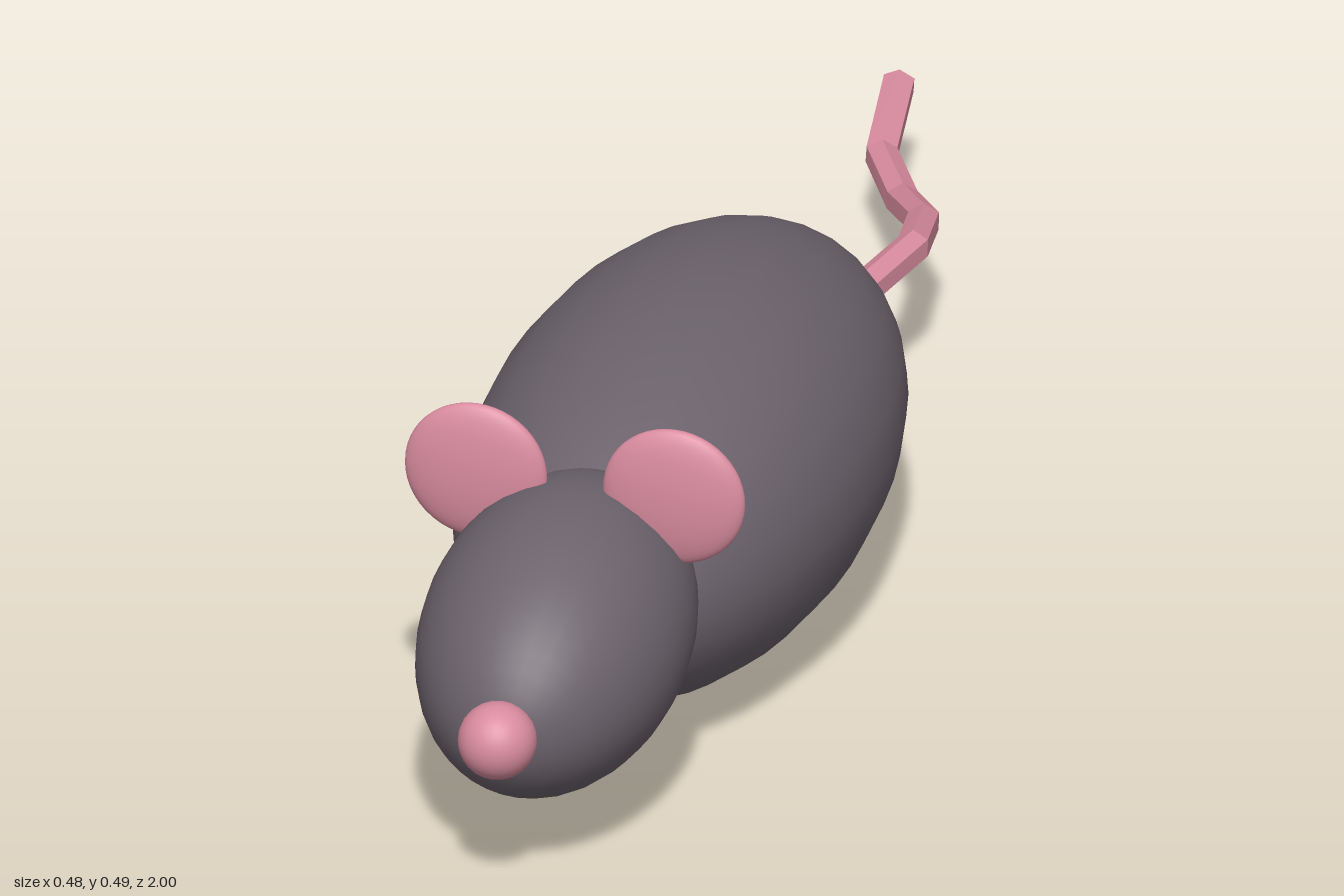
import * as THREE from 'three';
import { mergeGeometries } from 'three/addons/utils/BufferGeometryUtils.js';

const fur = new THREE.MeshStandardMaterial({ color: 0x6b626b });
fur.name = 'grey fur';
const skin = new THREE.MeshStandardMaterial({ color: 0xd98c9f });
skin.name = 'pink skin';

// Ellipsoid whose poles lie along z
function ellipsoid(name, material, radii, position, around = 24, along = 24) {
  const geometry = new THREE.SphereGeometry(1, around, along);
  geometry.rotateX(Math.PI / 2);
  geometry.scale(...radii);
  const mesh = new THREE.Mesh(geometry, material);
  mesh.name = name;
  mesh.position.set(...position);
  return mesh;
}

// Six-sided faceted tail with closed ends
function makeTail() {
  const curve = new THREE.CatmullRomCurve3([
    [-0.005, 0.14, -0.255], [0.058, 0.18, -0.385], [0.082, 0.18, -0.505],
    [0.058, 0.15, -0.63], [-0.002, 0.113, -0.745], [-0.063, 0.106, -0.865],
    [-0.08, 0.135, -0.995],
  ].map((p) => new THREE.Vector3(...p)));
  // Place one ring at each control point
  curve.getPointAt = (t, target) => curve.getPoint(t, target);
  curve.getTangentAt = (t, target) => curve.getTangent(t, target);

  const radius = 0.021, sides = 6;
  const tube = new THREE.TubeGeometry(curve, curve.points.length - 1, radius, sides);
  const parts = [tube];
  for (const t of [0, 1]) {
    const cap = new THREE.CircleGeometry(radius, sides);
    const outward = curve.getTangent(t).multiplyScalar(t ? 1 : -1);
    cap.applyQuaternion(new THREE.Quaternion().setFromUnitVectors(new THREE.Vector3(0, 0, 1), outward));
    const p = curve.getPoint(t);
    cap.translate(p.x, p.y, p.z);
    parts.push(cap);
  }
  const geometry = mergeGeometries(parts).toNonIndexed();
  geometry.computeVertexNormals();
  const tail = new THREE.Mesh(geometry, skin);
  tail.name = 'tail';
  return tail;
}

export function createModel() {
  const mouse = new THREE.Group();
  mouse.name = 'mouse';

  mouse.add(ellipsoid('body', fur, [0.242, 0.222, 0.483], [0, 0.223, 0.188]));

  // Head, tipped slightly nose down
  const head = ellipsoid('head', fur, [0.16, 0.16, 0.242], [0, 0.244, 0.705], 32);
  head.rotation.x = 0.22;
  mouse.add(head);

  mouse.add(ellipsoid('nose', skin, [0.047, 0.047, 0.047], [0, 0.223, 0.953]));

  // Thin round ears
  for (const [name, side] of [['leftEar', 1], ['rightEar', -1]]) {
    mouse.add(ellipsoid(name, skin, [0.0875, 0.0875, 0.022], [side * 0.122, 0.406, 0.628], 48, 24));
  }

  mouse.add(makeTail());
  return mouse;
}
